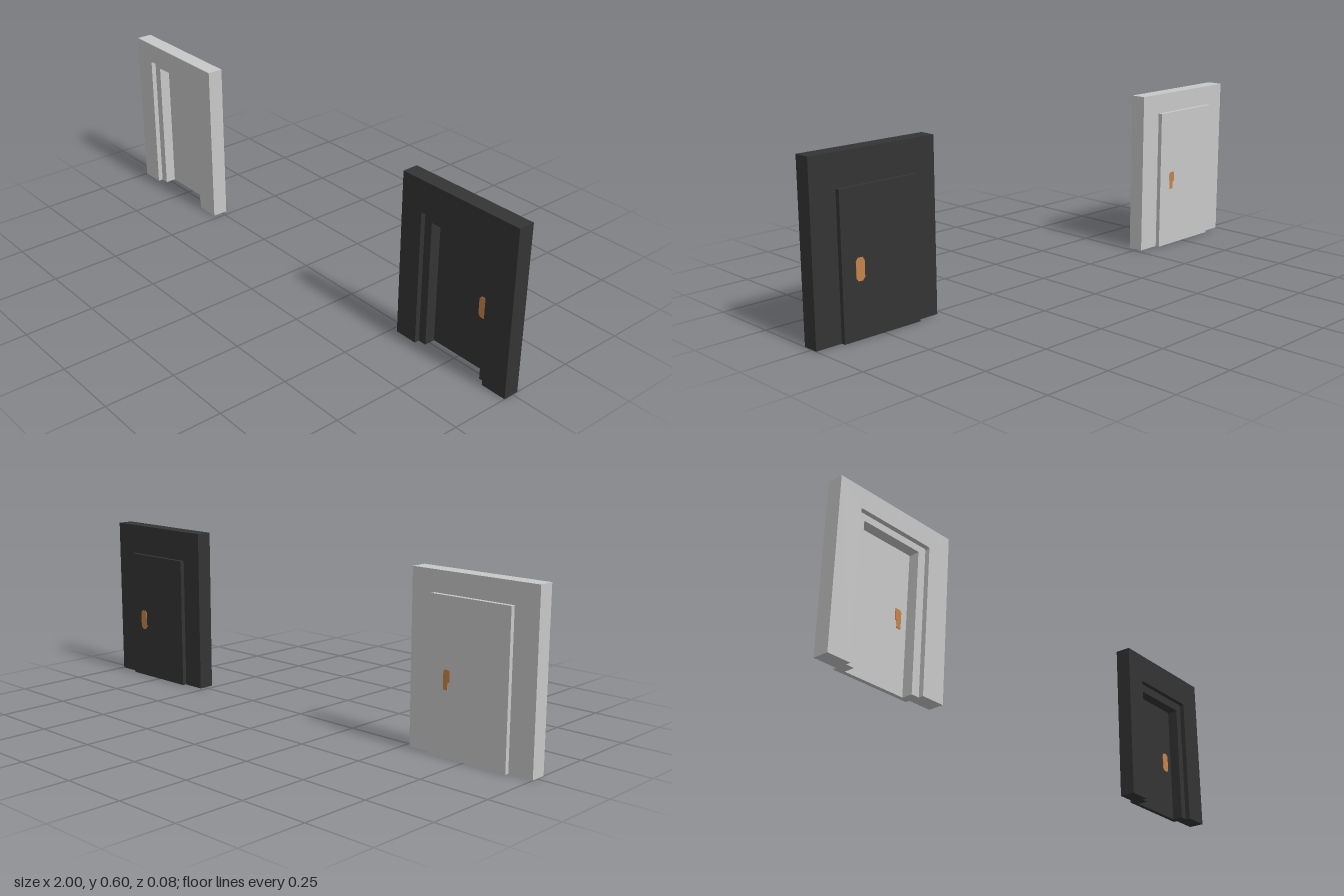
import * as THREE from 'three';

const mat = (name, color) => new THREE.MeshStandardMaterial({ name, color });

// Arch-shaped slab: outer rectangle with a door opening that reaches the floor
function surround(o, i, z0, z1, outerR, innerR) {
  const s = new THREE.Shape();
  s.moveTo(o.x0, 0);
  s.lineTo(i.x0, 0);
  s.lineTo(i.x0, i.top - innerR);
  s.quadraticCurveTo(i.x0, i.top, i.x0 + innerR, i.top);
  s.lineTo(i.x1 - innerR, i.top);
  s.quadraticCurveTo(i.x1, i.top, i.x1, i.top - innerR);
  s.lineTo(i.x1, 0);
  s.lineTo(o.x1, 0);
  s.lineTo(o.x1, o.top - outerR);
  s.lineTo(o.x1 - outerR, o.top);
  s.lineTo(o.x0 + outerR, o.top);
  s.lineTo(o.x0, o.top - outerR);
  const g = new THREE.ExtrudeGeometry(s, { depth: z1 - z0, bevelEnabled: false, curveSegments: 3 });
  return g.translate(0, 0, z0);
}

function plate(points, z) {
  const s = new THREE.Shape(points.map(([x, y]) => new THREE.Vector2(x, y)));
  const g = new THREE.ExtrudeGeometry(s, { depth: 0.002, bevelEnabled: false });
  return g.translate(0, 0, z);
}

function doorway(name, material, handleMaterial, d) {
  const group = new THREE.Group();
  group.name = name;
  const add = (part, geometry, m = material) => {
    const mesh = new THREE.Mesh(geometry, m);
    mesh.name = part;
    group.add(mesh);
  };

  // Wall, then the stepped frame inside its opening
  add('wall', surround(d.wall, d.opening, -0.021, 0.037, 0, 0.006));
  add('frame', surround(d.opening, d.inner, -0.021, 0.019, 0.003, 0.003));

  // Door leaf standing proud of the wall at the back
  const { x0, x1, top } = d.opening;
  const leaf = new THREE.BoxGeometry(x1 - x0, top - 0.001, 0.016);
  add('door', leaf.translate((x0 + x1) / 2, top / 2, -0.029));

  // Flat handles on both faces of the leaf
  add('frontHandle', plate(d.handle, -0.021), handleMaterial);
  add('backHandle', plate(d.handle, -0.0385), handleMaterial);
  return group;
}

export function createModel() {
  const model = new THREE.Group();
  model.name = 'doorways';
  const pale = mat('paleGrey', 0xc8c8c8);
  const dark = mat('darkGrey', 0x343434);
  const copper = mat('copper', 0xc58348);

  model.add(doorway('paleDoorway', pale, copper, {
    wall: { x0: -1, x1: -0.52, top: 0.6 },
    opening: { x0: -0.911, x1: -0.609, top: 0.527 },
    inner: { x0: -0.88, x1: -0.64, top: 0.503 },
    handle: [[-0.682, 0.224], [-0.665, 0.224], [-0.665, 0.284], [-0.67, 0.29],
      [-0.69, 0.29], [-0.69, 0.25], [-0.682, 0.25]],
  }));
  model.add(doorway('darkDoorway', dark, copper, {
    wall: { x0: 0.52, x1: 1, top: 0.6 },
    opening: { x0: 0.606, x1: 0.905, top: 0.489 },
    inner: { x0: 0.636, x1: 0.877, top: 0.457 },
    handle: [[0.828, 0.19], [0.845, 0.19], [0.853, 0.2], [0.853, 0.255],
      [0.845, 0.265], [0.828, 0.265], [0.82, 0.255], [0.82, 0.2]],
  }));
  return model;
}
